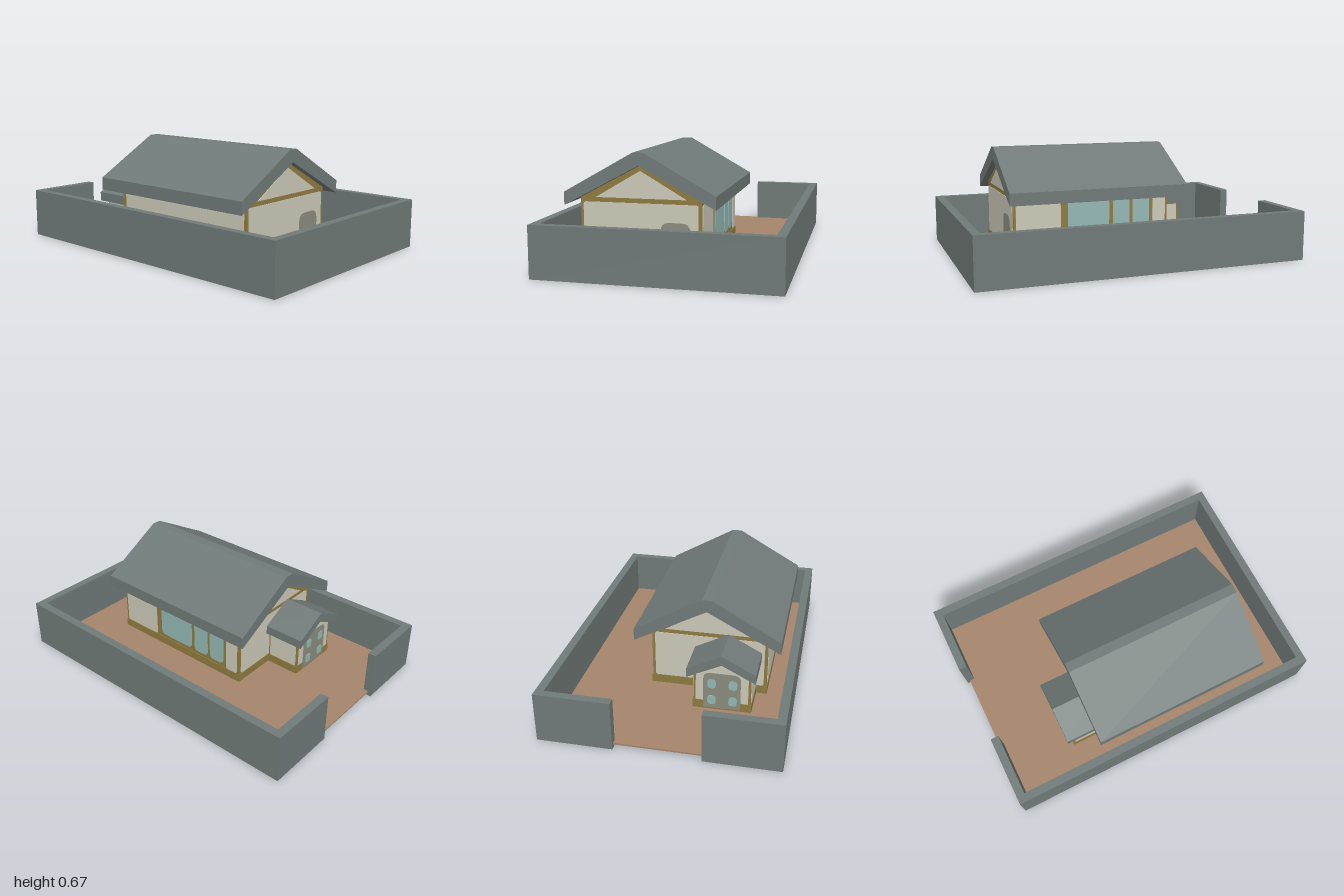
import * as THREE from 'three';

const mat = (name, color) => new THREE.MeshStandardMaterial({ name, color });

export function createModel() {
  const model = new THREE.Group();
  model.name = 'walledHouse';
  const slate = mat('slate grey', 0x707a78);
  const earth = mat('earth brown', 0xa5846a);
  const plaster = mat('cream plaster', 0xcbc9b8);
  const timber = mat('ochre timber', 0x8f7a40);
  const glass = mat('pale blue glass', 0x94b8b4);
  const doorGrey = mat('door grey', 0x8b8c7f);

  const add = (name, geometry, material, parent = model) => {
    const mesh = new THREE.Mesh(geometry, material);
    mesh.name = name;
    parent.add(mesh);
    return mesh;
  };
  const box = (name, material, x0, x1, y0, y1, z0, z1, parent) => {
    const mesh = add(name, new THREE.BoxGeometry(x1 - x0, y1 - y0, z1 - z0), material, parent);
    mesh.position.set((x0 + x1) / 2, (y0 + y1) / 2, (z0 + z1) / 2);
    return mesh;
  };
  const outline = (pts) => new THREE.Shape(pts.map(([a, b]) => new THREE.Vector2(a, b)));
  const extrude = (shape, depth) =>
    new THREE.ExtrudeGeometry(shape, { depth, bevelEnabled: false, curveSegments: 5 });

  // Prism along x from a (z, y) cross-section
  const prismX = (name, material, pts, x0, x1, parent) => {
    const mesh = add(name, extrude(outline(pts.map(([z, y]) => [-z, y])), x1 - x0), material, parent);
    mesh.rotation.y = Math.PI / 2;
    mesh.position.x = x0;
    return mesh;
  };

  // Rectangle with rounded upper and lower corners
  const rounded = (a0, a1, b0, b1, top, bottom = top) => {
    const s = new THREE.Shape();
    s.moveTo(a0 + bottom, b0);
    s.lineTo(a1 - bottom, b0);
    s.quadraticCurveTo(a1, b0, a1, b0 + bottom);
    s.lineTo(a1, b1 - top);
    s.quadraticCurveTo(a1, b1, a1 - top, b1);
    s.lineTo(a0 + top, b1);
    s.quadraticCurveTo(a0, b1, a0, b1 - top);
    s.lineTo(a0, b0 + bottom);
    s.quadraticCurveTo(a0, b0, a0 + bottom, b0);
    return s.getPoints(4).map((p) => [p.x, p.y]);
  };

  // Thin plates straddling a wall plane
  const T = 0.008;
  const plateX = (name, material, pts, x) => prismX(name, material, pts, x - T / 2, x + T / 2);
  const plateZ = (name, material, pts, z) => {
    const mesh = add(name, extrude(outline(pts), T), material);
    mesh.position.z = z - T / 2;
    return mesh;
  };

  // Courtyard ground and boundary wall with a gate opening
  box('ground', earth, -0.98, 0.96, 0.02, 0.03, -0.65, 0.65);
  const wall = new THREE.Group();
  wall.name = 'boundaryWall';
  model.add(wall);
  for (const s of [-1, 1]) {
    const [za, zb] = s > 0 ? [0.64, 0.69] : [-0.69, -0.64];
    box('longWall', slate, -1, 1, 0, 0.3, za, zb, wall);
    const [ga, gb] = s > 0 ? [0.25, 0.64] : [-0.64, -0.25];
    box('gateWall', slate, -1, -0.95, 0, 0.3, ga, gb, wall);
  }
  box('endWall', slate, 0.95, 1, 0, 0.3, -0.64, 0.64, wall);

  // Timber bodies of the house and porch
  prismX('houseBody', timber,
    [[0.515, 0.03], [0.515, 0.408], [0.162, 0.595], [-0.19, 0.408], [-0.19, 0.03]], -0.32, 0.67);
  prismX('porchBody', timber,
    [[0.45, 0.03], [0.45, 0.27], [0.28, 0.355], [0.11, 0.27], [0.11, 0.03]], -0.54, -0.31);

  // Sill ring following the footprint
  const ring = (x0, x1, xp, z0, z1, p0, p1) => [
    [x1, -z0], [x0, -z0], [x0, -p0], [xp, -p0], [xp, -p1], [x0, -p1], [x0, -z1], [x1, -z1]];
  const sill = outline(ring(-0.325, 0.675, -0.545, -0.195, 0.52, 0.105, 0.455));
  sill.holes.push(outline(ring(-0.3, 0.65, -0.52, -0.17, 0.495, 0.13, 0.43)));
  const sillMesh = add('sill', extrude(sill, 0.07), timber);
  sillMesh.rotation.x = -Math.PI / 2;
  sillMesh.position.y = 0.012;

  // Main roof and porch roof
  prismX('mainRoof', slate, [[0.6, 0.365], [0.6, 0.44], [0.192, 0.67], [0.132, 0.67],
    [-0.278, 0.44], [-0.278, 0.365], [0.162, 0.597]], -0.415, 0.71);
  prismX('porchRoof', slate, [[0.48, 0.255], [0.48, 0.31], [0.28, 0.415],
    [0.076, 0.31], [0.076, 0.255], [0.28, 0.357]], -0.585, -0.315);

  // Gable plaster
  for (const x of [-0.32, 0.67]) {
    plateX('gablePlaster', plaster, [[0.425, 0.41], [0.162, 0.565], [-0.105, 0.41]], x);
    plateX('gableWallPlaster', plaster, rounded(-0.172, 0.498, 0.085, 0.383, 0.015), x);
  }
  plateX('sideDoor', doorGrey, rounded(-0.125, 0.045, 0.04, 0.28, 0.05, 0), 0.673);

  // Front wall plaster
  plateZ('frontPlaster', plaster, rounded(-0.29, 0.655, 0.085, 0.39, 0.015), 0.515);

  // Back wall plaster and windows
  plateZ('backPlaster', plaster, rounded(0.38, 0.655, 0.085, 0.38, 0.015), -0.19);
  plateZ('backPlaster', plaster, rounded(-0.305, -0.22, 0.085, 0.38, 0.015), -0.19);
  for (const [a, b] of [[0.07, 0.335], [-0.065, 0.045], [-0.195, -0.085]]) {
    plateZ('backWindow', glass, rounded(a, b, 0.105, 0.375, 0.03), -0.19);
  }

  // Porch plaster, door and panes
  for (const z of [0.11, 0.45]) {
    plateZ('porchPlaster', plaster, rounded(-0.53, -0.335, 0.085, 0.26, 0.01), z);
  }
  plateX('porchEndPlaster', plaster,
    [[0.435, 0.085], [0.435, 0.255], [0.28, 0.33], [0.125, 0.255], [0.125, 0.085]], -0.54);
  plateX('porchDoor', doorGrey, rounded(0.17, 0.39, 0.04, 0.275, 0.04, 0), -0.544);
  for (const z of [0.22, 0.345]) {
    for (const y of [0.095, 0.205]) {
      plateX('porchPane', glass, rounded(z - 0.025, z + 0.025, y - 0.03, y + 0.03, 0.02), -0.547);
    }
  }
  return model;
}
